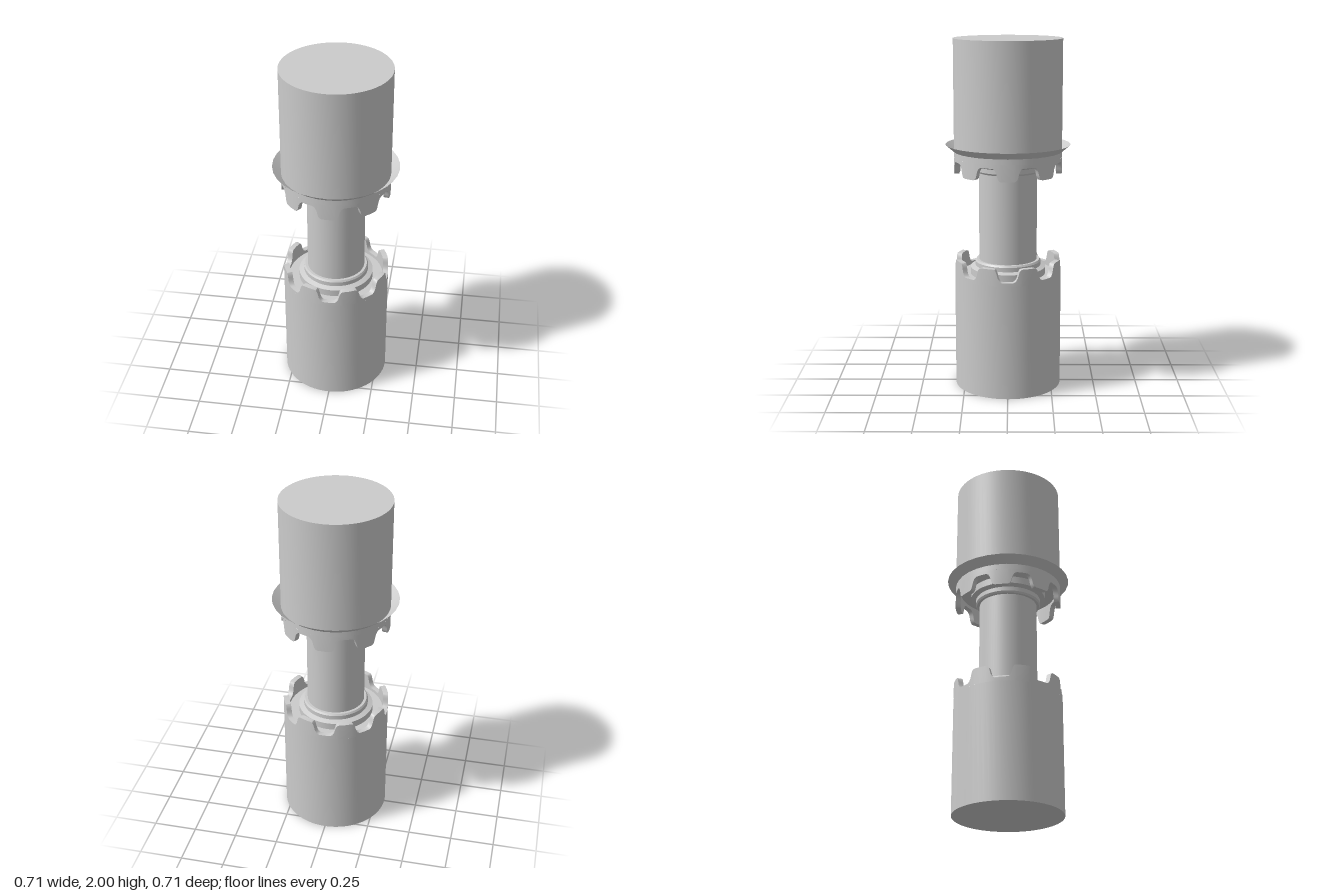
import * as THREE from 'three';
import { toCreasedNormals } from 'three/addons/utils/BufferGeometryUtils.js';

const R = 0.305, INNER = 0.275, ROD = 0.165, FLOOR = 0.66;
const TEETH = 8;
const grey = new THREE.MeshStandardMaterial({ color: 0xcccccc });
const thin = new THREE.MeshStandardMaterial({ color: 0xcccccc, side: THREE.DoubleSide });

function part(name, geometry, material = grey) {
  const mesh = new THREE.Mesh(geometry, material);
  mesh.name = name;
  return mesh;
}

const lathe = (points) => toCreasedNormals(
  new THREE.LatheGeometry(points.map(([x, y]) => new THREE.Vector2(x, y)), 64), 0.6);

// Toothed wall: a rectangular section swept round the axis, its top following the teeth
function crownGeometry() {
  // half a tooth, from the middle of a gap: angle in degrees, height
  const half = [[0, 0.68], [6, 0.68], [8.5, 0.687], [10.5, 0.705], [11.5, 0.725],
    [12.5, 0.742], [14, 0.752], [16, 0.755], [22.5, 0.755]];
  const pitch = 360 / TEETH;
  const rest = half.slice(1, -1).reverse().map(([a, h]) => [pitch - a, h]);
  const columns = [];
  for (let t = 0; t < TEETH; t++) {
    for (const [a, h] of [...half, ...rest]) columns.push([THREE.MathUtils.degToRad(a + t * pitch), h]);
  }
  const positions = [], index = [], n = columns.length;
  columns.forEach(([a, h], i) => {
    for (const [r, y] of [[R, FLOOR], [R, h], [INNER, h], [INNER, FLOOR]]) {
      positions.push(r * Math.sin(a), y, r * Math.cos(a));
    }
    const p = i * 4, q = ((i + 1) % n) * 4;
    for (let k = 0; k < 3; k++) index.push(p + k, q + k, q + k + 1, p + k, q + k + 1, p + k + 1);
  });
  const geometry = new THREE.BufferGeometry();
  geometry.setAttribute('position', new THREE.Float32BufferAttribute(positions, 3));
  geometry.setIndex(index);
  return toCreasedNormals(geometry, 0.6);
}

// One coupling half, teeth upward, with a stepped collar around the rod
function couplingHalf(name) {
  const half = new THREE.Group();
  half.name = name;
  half.add(
    part('body', lathe([[0, 0], [R, 0], [R, FLOOR], [0.215, FLOOR], [0.215, 0.7]])),
    part('collar', lathe([[0.215, 0.7], [0.187, 0.71], [0.187, 0.735], [0.18, 0.745], [ROD, 0.745]])),
    part('toothedRim', crownGeometry()),
  );
  return half;
}

export function createModel() {
  const model = new THREE.Group();
  model.name = 'toothedCoupling';

  const lower = couplingHalf('lowerHalf');

  // Upper half is the lower one turned over, half a tooth out of step
  const upper = couplingHalf('upperHalf');
  upper.rotation.set(Math.PI, Math.PI / TEETH, 0);
  upper.position.y = 2;

  const rod = part('rod', new THREE.CylinderGeometry(ROD, ROD, 0.6, 64, 1, true));
  rod.position.y = 1;

  // Flared skirt, open at the top
  const flange = part('flange', new THREE.CylinderGeometry(0.353, R, 0.04, 32, 1, true), thin);
  flange.position.y = 1.39;

  model.add(lower, upper, rod, flange);
  return model;
}
